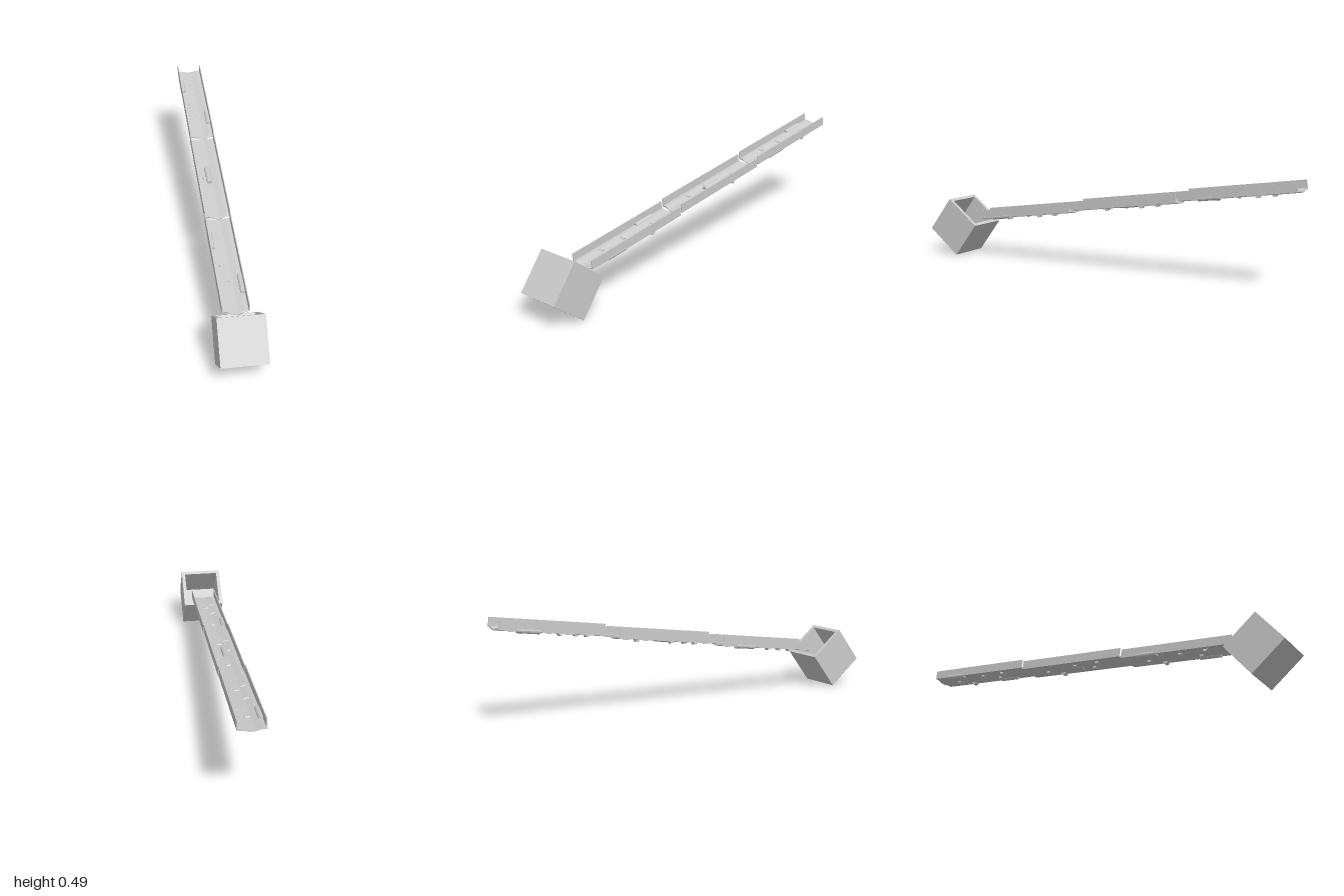
import * as THREE from 'three';

const material = new THREE.MeshStandardMaterial({ color: 0xcccccc, flatShading: true });
const SLOPE = 0.14;
const LENGTH = 0.577;

function add(parent, name, geometry, x = 0, y = 0, z = 0) {
  const mesh = new THREE.Mesh(geometry, material);
  mesh.name = name;
  mesh.position.set(x, y, z);
  parent.add(mesh);
  return mesh;
}

// Shallow dished floor; the middle of its lower end reaches forward as a lip
function floorGeometry() {
  const top = [[-0.059, 0], [-0.04, 0], [-0.012, -0.007], [0.012, -0.007], [0.04, 0], [0.059, 0]];
  const under = top.map(([x, y]) => [x, y - 0.007]).reverse();
  const shape = new THREE.Shape([...top, ...under].map(([x, y]) => new THREE.Vector2(x, y)));
  const geo = new THREE.ExtrudeGeometry(shape, { depth: LENGTH, bevelEnabled: false });
  geo.translate(0, 0, -LENGTH / 2);
  const p = geo.attributes.position;
  for (let i = 0; i < p.count; i++) {
    if (p.getZ(i) > 0) {
      const reach = THREE.MathUtils.clamp((0.04 - Math.abs(p.getX(i))) / 0.028, 0, 1);
      p.setZ(i, p.getZ(i) + 0.012 * reach);
    }
  }
  geo.computeVertexNormals();
  return geo;
}

// One length of trough with its pegs and logs
function makeTrough(logs) {
  const trough = new THREE.Group();
  trough.name = 'troughSection';
  add(trough, 'troughFloor', floorGeometry());
  for (const side of [-1, 1]) {
    add(trough, 'troughWall', new THREE.BoxGeometry(0.004, 0.043, LENGTH), side * 0.059, 0.0145, 0);
  }

  // Small pegs, mostly sunk through the floor: x, z, tilt
  const pegs = [[-0.001, -0.16, 0], [0.046, -0.1, 0], [-0.023, 0.017, -0.25], [0.008, 0.112, 0], [-0.029, 0.148, -0.15]];
  for (const [x, z, tilt] of pegs) {
    const geo = new THREE.CylinderGeometry(0.012, 0.012, 0.023, 6);
    geo.rotateZ(Math.PI / 2);
    const dip = Math.abs(x) < 0.015 ? 0.013 : 0.009;
    add(trough, 'peg', geo, x, -dip, z).rotation.z = tilt;
  }

  // Round logs lying along the floor: x, y, z
  for (const [x, y, z] of logs) {
    const geo = new THREE.CylinderGeometry(0.013, 0.013, 0.11, 12);
    geo.rotateX(Math.PI / 2);
    add(trough, 'log', geo, x, y, z);
  }
  return trough;
}

// Open square bin tipped back to face the trough
function makeBin() {
  const bin = new THREE.Group();
  bin.name = 'bin';
  const size = 0.206, wall = 0.017, base = 0.016;
  const square = (Type, h) => new Type([[-h, -h], [h, -h], [h, h], [-h, h]].map(([x, y]) => new THREE.Vector2(x, y)));
  const shape = square(THREE.Shape, size / 2);
  shape.holes.push(square(THREE.Path, size / 2 - wall));
  const walls = new THREE.ExtrudeGeometry(shape, { depth: size - base, bevelEnabled: false });
  walls.rotateX(-Math.PI / 2);
  add(bin, 'binWalls', walls, 0, base - size / 2, 0);
  add(bin, 'binBase', new THREE.BoxGeometry(size, base, size), 0, (base - size) / 2, 0);
  bin.position.set(0, 0.1445, 0.855);
  bin.rotation.x = -0.66;
  return bin;
}

export function createModel() {
  const model = new THREE.Group();
  model.name = 'troughAndBin';
  model.add(makeBin());

  const sideLogs = [[-0.05, -0.003, -0.15], [0.049, -0.003, 0.133]];
  const middleLog = [[-0.004, -0.005, -0.008]];
  for (let i = 0; i < 3; i++) {
    const trough = makeTrough(i === 1 ? middleLog : sideLogs);
    trough.position.set(-0.001, 0.237 + 0.091 * i, 0.448 - 0.58 * i);
    trough.rotation.x = SLOPE;
    model.add(trough);
  }
  return model;
}
